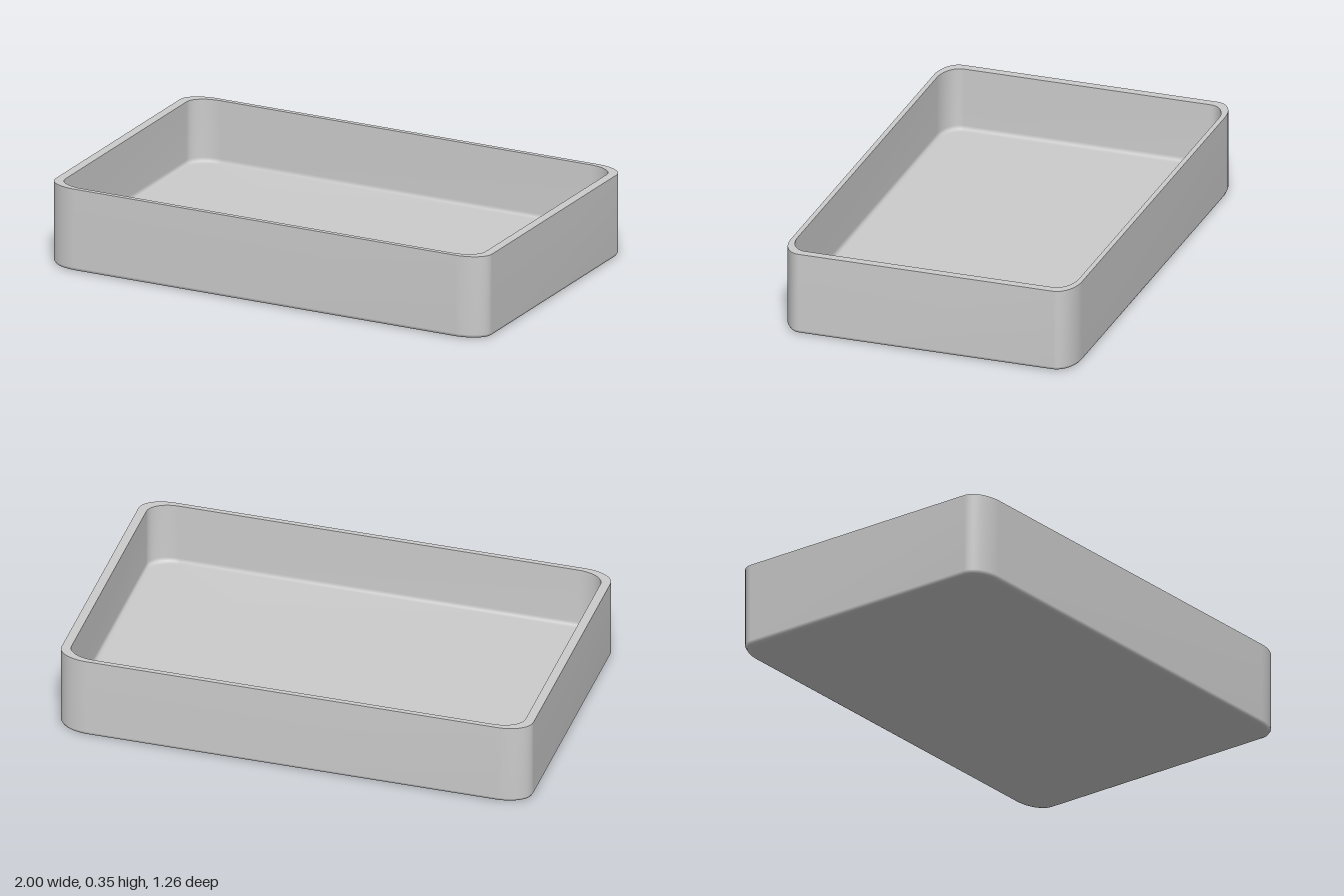
import * as THREE from 'three';

const CORNER_STEPS = 10;

// Rounded rectangle in the xz plane with elliptical corners
function ring(hx, hz, rx, rz, y) {
  const pts = [];
  const corners = [[1, 1], [-1, 1], [-1, -1], [1, -1]];
  corners.forEach(([sx, sz], q) => {
    for (let i = 0; i <= CORNER_STEPS; i++) {
      const a = (q + i / CORNER_STEPS) * Math.PI / 2;
      pts.push([sx * (hx - rx) + rx * Math.cos(a), y, sz * (hz - rz) + rz * Math.sin(a)]);
    }
  });
  return pts;
}

// Skin over a list of rings, each ordered from lower/outer to upper/inner
function skin(rings) {
  const n = rings[0].length;
  const index = [];
  for (let r = 0; r < rings.length - 1; r++) {
    for (let i = 0; i < n; i++) {
      const j = (i + 1) % n;
      const a = r * n + i, b = r * n + j, c = a + n, d = b + n;
      index.push(a, c, b, b, c, d);
    }
  }
  const geo = new THREE.BufferGeometry();
  geo.setAttribute('position', new THREE.Float32BufferAttribute(rings.flat(2), 3));
  geo.setIndex(index);
  geo.computeVertexNormals();
  return geo;
}

export function createModel() {
  const group = new THREE.Group();
  group.name = 'tray';
  const material = new THREE.MeshStandardMaterial({ color: 0xcccccc });
  const add = (name, rings) => {
    const mesh = new THREE.Mesh(skin(rings), material);
    mesh.name = name;
    group.add(mesh);
  };

  const H = 0.355, FLOOR = 0.085;
  const outer = (inset, y) => ring(1 - inset, 0.628 - inset * 0.7, 0.13, 0.08, y);
  const inner = (inset, y) => ring(0.962 - inset, 0.607 - inset * 0.7, 0.115, 0.075, y);
  const centre = (y) => ring(0, 0, 0, 0, y);

  // Underside, bevelled foot and outer wall
  add('outerShell', [centre(0), outer(0.025, 0), outer(0.007, 0.005), outer(0, 0.018), outer(0, H)]);

  // Flat rim between the outer and inner outlines
  add('rim', [outer(0, H), inner(0, H)]);

  // Inner wall, small fillet and floor
  add('innerBasin', [inner(0, H), inner(0, FLOOR + 0.02), inner(0.006, FLOOR + 0.006),
    inner(0.02, FLOOR), centre(FLOOR)]);

  return group;
}
